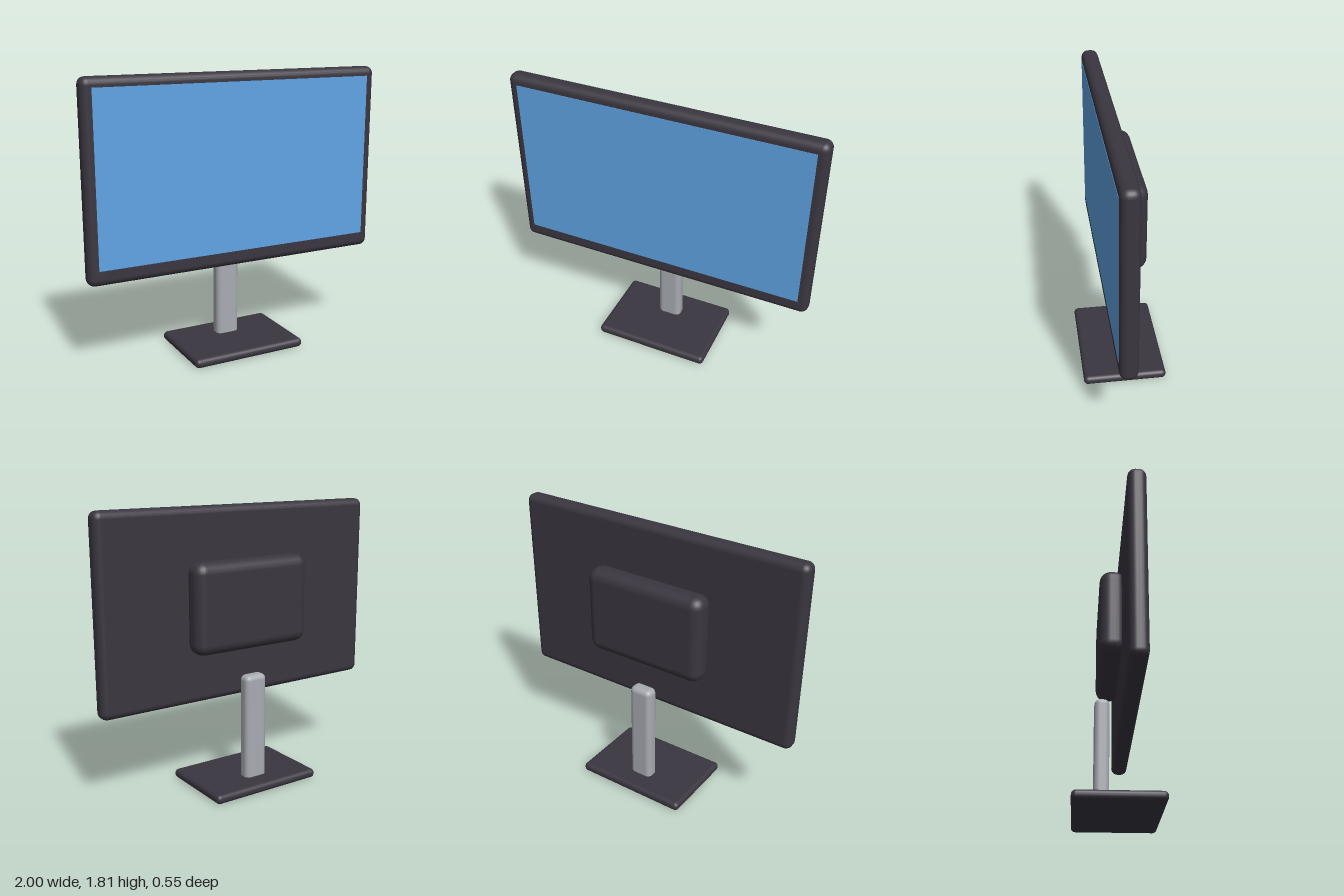
import * as THREE from 'three';
import { RoundedBoxGeometry } from 'three/addons/geometries/RoundedBoxGeometry.js';

const dark = new THREE.MeshStandardMaterial({ color: 0x3a3640 });
const metal = new THREE.MeshStandardMaterial({ color: 0xa8abb2 });
const blue = new THREE.MeshStandardMaterial({ color: 0x5fa4e4 });

// Rounded box given by its extents: [min, max] in x, y and z
function roundedPart(name, [x0, x1], [y0, y1], [z0, z1], radius, material) {
  const geometry = new RoundedBoxGeometry(x1 - x0, y1 - y0, z1 - z0, 3, radius);
  const mesh = new THREE.Mesh(geometry, material);
  mesh.name = name;
  mesh.position.set((x0 + x1) / 2, (y0 + y1) / 2, (z0 + z1) / 2);
  return mesh;
}

export function createModel() {
  const model = new THREE.Group();
  model.name = 'monitor';

  // Stand: flat foot and upright neck
  model.add(roundedPart('base', [-0.387, 0.387], [0, 0.06], [-0.274, 0.274], 0.028, dark));
  model.add(roundedPart('neck', [-0.079, 0.079], [0.03, 0.746], [-0.143, -0.048], 0.035, metal));

  // Display panel with the housing sunk into its back
  model.add(roundedPart('panel', [-1, 1], [0.583, 1.809], [0.01, 0.122], 0.045, dark));
  model.add(roundedPart('rearHousing', [-0.419, 0.419], [0.911, 1.485], [-0.127, 0.035], 0.07, dark));

  // Screen, a thin sheet just proud of the bezel
  const screen = new THREE.Mesh(new THREE.BoxGeometry(1.874, 1.067, 0.008), blue);
  screen.name = 'screen';
  screen.position.set(0, 1.216, 0.12);
  model.add(screen);

  return model;
}
